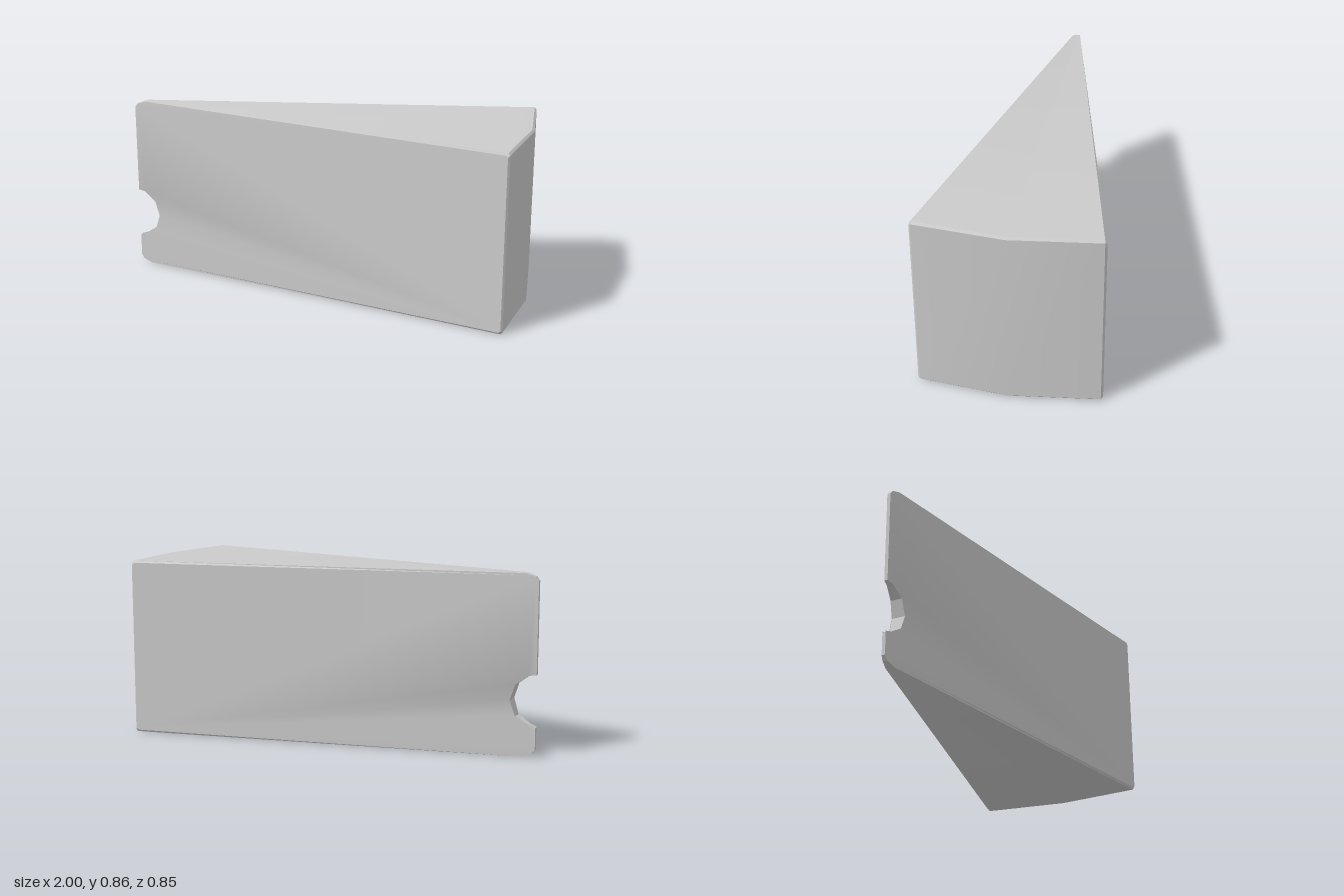
import * as THREE from 'three';
import { toCreasedNormals } from 'three/addons/utils/BufferGeometryUtils.js';

const HEIGHT = 0.86;

// Half thickness of the wedge, growing from the tip to the broad end
const halfWidth = (x) => 0.008 + 0.417 * (x + 1) / 1.95;

// Side outline: eased corners and a faceted round bite in the tip edge
function sideProfile() {
  const points = [
    [-0.94, 0], [0.99, 0], [1, 0.01], [1, HEIGHT - 0.01], [0.99, HEIGHT],
    [-0.94, HEIGHT], [-0.985, HEIGHT - 0.015], [-1, HEIGHT - 0.035],
    [-1, 0.39], [-0.965, 0.385], [-0.905, 0.34], [-0.88, 0.265],
    [-0.905, 0.19], [-0.965, 0.15], [-1, 0.14],
    [-1, 0.035], [-0.985, 0.015],
  ];
  return new THREE.Shape(points.map(([x, y]) => new THREE.Vector2(x, y)));
}

function wedgeGeometry() {
  const geometry = new THREE.ExtrudeGeometry(sideProfile(), {
    depth: 4, steps: 4, bevelEnabled: false,
  });
  const layers = [-1, -0.975, 0, 0.975, 1];
  const position = geometry.attributes.position;
  for (let i = 0; i < position.count; i++) {
    const layer = layers[Math.round(position.getZ(i))];
    let x = position.getX(i);
    let y = position.getY(i);
    // The broad end bends outwards along its centre line
    if (x > 0.9) x -= 0.048 * Math.abs(layer);
    // The outermost layers shrink a little to soften the long edges
    if (Math.abs(layer) === 1) {
      y = HEIGHT / 2 + (y - HEIGHT / 2) * 0.977;
      if (x > 0.9) x -= 0.008;
    }
    position.setXYZ(i, x, y, layer * halfWidth(x));
  }
  geometry.computeVertexNormals();
  return toCreasedNormals(geometry, 0.6);
}

export function createModel() {
  const model = new THREE.Group();
  model.name = 'wedgeSlice';
  const slice = new THREE.Mesh(
    wedgeGeometry(),
    new THREE.MeshStandardMaterial({ color: 0xcccccc }),
  );
  slice.name = 'wedgeBody';
  model.add(slice);
  return model;
}
